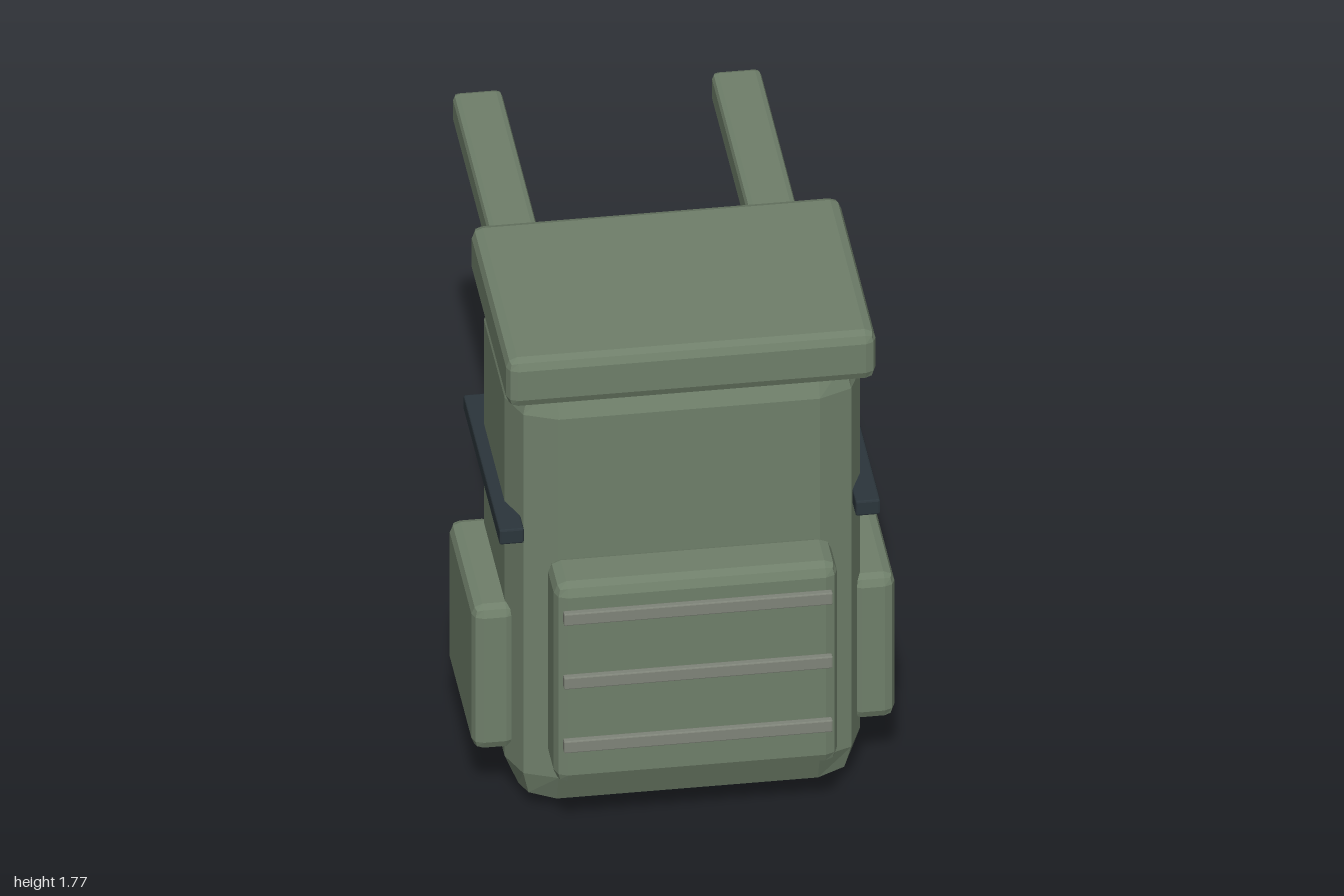
import * as THREE from 'three';
import { RoundedBoxGeometry } from 'three/addons/geometries/RoundedBoxGeometry.js';

const material = (color) => new THREE.MeshStandardMaterial({ color, flatShading: true });

export function createModel() {
  const model = new THREE.Group();
  const canvas = material(0x6f7f6a);
  const webbing = material(0x7f8479);
  const dark = material(0x2b353b);

  // Bevelled block given by its [min, max] extent on each axis
  function block(name, x, y, z, bevel, mat) {
    const size = [x, y, z].map(([a, b]) => b - a);
    const mesh = new THREE.Mesh(new RoundedBoxGeometry(...size, 1, bevel), mat);
    mesh.position.set(...[x, y, z].map(([a, b]) => (a + b) / 2));
    mesh.name = name;
    model.add(mesh);
  }

  // Main bag and its overhanging lid
  block('body', [-0.565, 0.565], [0, 1.65], [0.05, 0.8], 0.15, canvas);
  block('lid', [-0.587, 0.587], [1.592, 1.77], [0.052, 0.866], 0.035, canvas);

  // Front pocket with three webbing strips
  block('frontPocket', [-0.45, 0.45], [0.23, 0.977], [0.77, 0.97], 0.04, canvas);
  for (const y of [0.395, 0.635, 0.875]) {
    block('webbingStrip', [-0.427, 0.427], [y - 0.022, y + 0.022], [0.976, 1], 0.004, webbing);
  }

  // Parts mirrored on both sides
  for (const [side, s] of [['left', 1], ['right', -1]]) {
    const span = (a, b) => (s > 0 ? [a, b] : [-b, -a]);
    block(side + 'SidePocket', span(0.53, 0.672), [0.2, 0.737], [0.155, 0.695], 0.035, canvas);
    block(side + 'CompressionStrap', span(0.527, 0.605), [1.055, 1.11], [0.03, 0.815], 0.006, dark);
    block(side + 'ShoulderStrap', span(0.333, 0.49), [1.457, 1.568], [-1, 0.1], 0.02, canvas);
    block(side + 'StrapBuckle', span(0.361, 0.462), [1.407, 1.475], [-0.913, -0.842], 0.014, dark);
  }
  return model;
}
